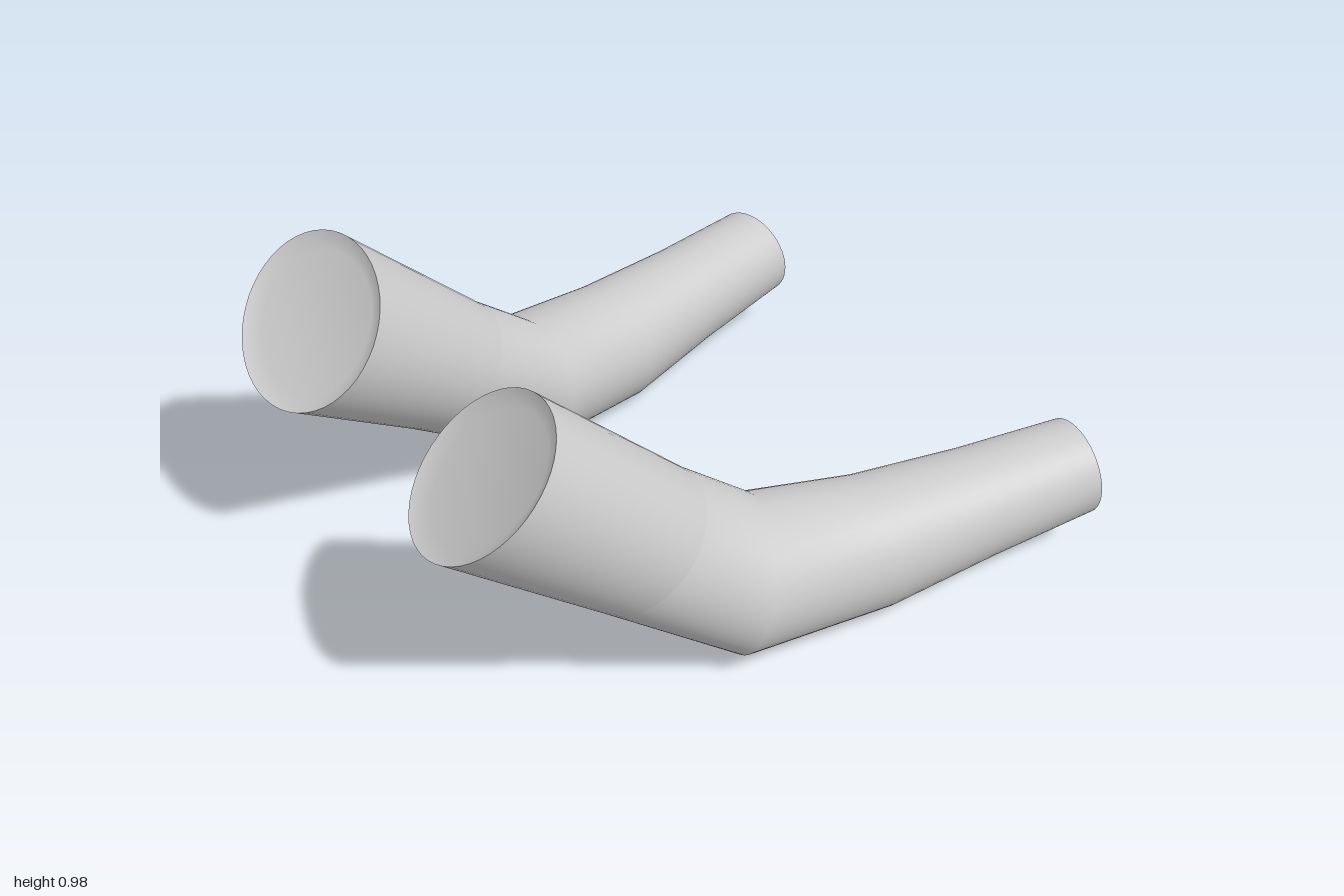
import * as THREE from 'three';

const SIDES = 48;
const V = (x, y, z) => new THREE.Vector3(x, y, z);

// Cross-sections from shoulder to wrist: centre x/y, half-axis up (u), half-axis outward (w),
// then the distance of the centre from the middle plane for the left-hand and right-hand arm
const SECTIONS = [
  { c: [-0.83, 0.80], u: [0.17, 0.183, 0.02], w: [-0.025, 0.035, 0.248], z: [0.403, 0.475] },
  { c: [-0.40, 0.45], u: [0.165, 0.14, 0.015], w: [-0.035, 0, 0.211], z: [0.485, 0.543] },
  { c: [-0.10, 0.228], u: [0.06, 0.208, 0], w: [-0.07, 0, 0.207], z: [0.548, 0.593] },
  { c: [0.295, 0.20], u: [0, 0.195, 0], w: [-0.03, 0, 0.191], z: [0.62, 0.652] },
  { c: [0.63, 0.224], u: [0, 0.164, 0], w: [-0.03, 0, 0.162], z: [0.688, 0.705] },
  { c: [0.967, 0.25], u: [-0.012, 0.145, 0], w: [-0.03, 0, 0.144], z: [0.755, 0.757] },
];

// Shrink a ring about its centre and slide it along a direction
function inset(ring, scale, shift = V(0, 0, 0)) {
  return {
    c: ring.c.clone().add(shift),
    u: ring.u.clone().multiplyScalar(scale),
    w: ring.w.clone().multiplyScalar(scale),
  };
}

// Skin a row of elliptical rings
function loft(name, rings, flip, material) {
  const pos = [], index = [];
  rings.forEach((r, i) => {
    for (let j = 0; j < SIDES; j++) {
      const t = (j / SIDES) * Math.PI * 2;
      const p = r.c.clone().addScaledVector(r.u, Math.cos(t)).addScaledVector(r.w, Math.sin(t));
      pos.push(p.x, p.y, p.z);
      if (i === rings.length - 1) continue;
      const a = i * SIDES + j, b = i * SIDES + (j + 1) % SIDES;
      const c = a + SIDES, d = b + SIDES;
      if (flip) index.push(a, c, b, b, c, d);
      else index.push(a, b, c, b, d, c);
    }
  });
  const geo = new THREE.BufferGeometry();
  geo.setAttribute('position', new THREE.Float32BufferAttribute(pos, 3));
  geo.setIndex(index);
  geo.computeVertexNormals();
  const mesh = new THREE.Mesh(geo, material);
  mesh.name = name;
  return mesh;
}

function makeArm(name, side, material) {
  const arm = new THREE.Group();
  arm.name = name;
  const s = side === 0 ? 1 : -1;
  const rings = SECTIONS.map(({ c, u, w, z }) => ({
    c: V(c[0], c[1], s * z[side]),
    u: V(u[0], u[1], s * u[2]),
    w: V(w[0], w[1], s * w[2]),
  }));
  const add = (part, list) => arm.add(loft(part, list, s < 0, material));

  add('upperArm', rings.slice(0, 2));
  add('elbowAndForearm', rings.slice(1));

  // Shallow dished shoulder end
  const top = rings[0];
  const inward = rings[1].c.clone().sub(top.c).normalize().multiplyScalar(0.025);
  add('shoulderEnd', [inset(top, 0, inward), inset(top, 0.8, inward), top]);

  // Flat wrist end
  const wrist = rings[rings.length - 1];
  add('wristEnd', [wrist, inset(wrist, 0)]);
  return arm;
}

export function createModel() {
  const material = new THREE.MeshStandardMaterial({ color: 0xcccccc });
  const model = new THREE.Group();
  model.name = 'armPair';
  model.add(makeArm('frontArm', 0, material), makeArm('backArm', 1, material));
  return model;
}
